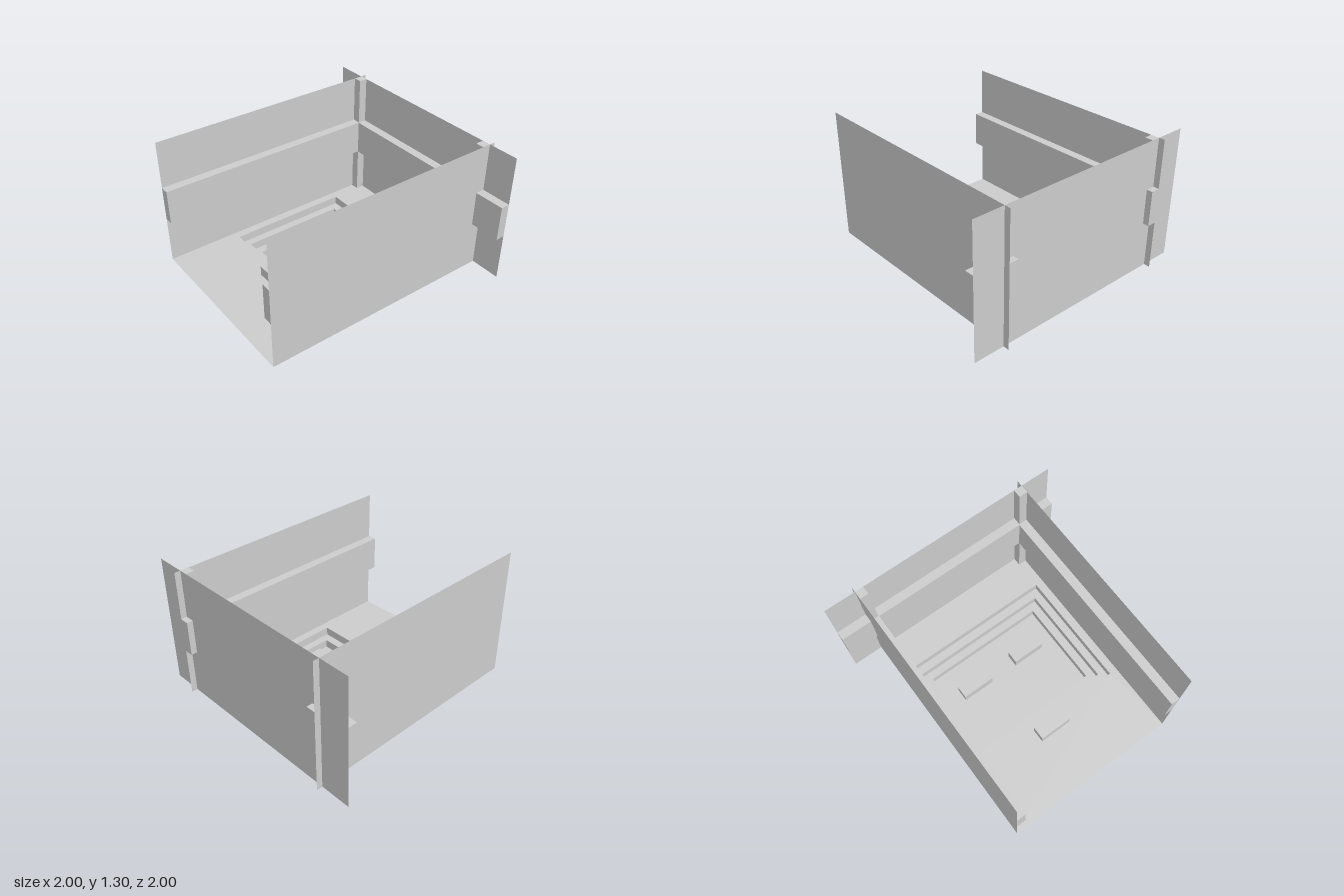
import * as THREE from 'three';

export function createModel() {
  const group = new THREE.Group();
  const solid = new THREE.MeshStandardMaterial({ color: 0xcccccc, flatShading: true });
  const sheet = new THREE.MeshStandardMaterial({ color: 0xcccccc, flatShading: true, side: THREE.DoubleSide });

  function add(name, geometry, material) {
    const mesh = new THREE.Mesh(geometry, material);
    mesh.name = name;
    group.add(mesh);
    return mesh;
  }

  // Box given by its extents along each axis
  function box(name, [x0, x1], [y0, y1], [z0, z1]) {
    const mesh = add(name, new THREE.BoxGeometry(x1 - x0, y1 - y0, z1 - z0), solid);
    mesh.position.set((x0 + x1) / 2, (y0 + y1) / 2, (z0 + z1) / 2);
  }

  // Thin upright wall between two points in plan
  function wall(name, xa, za, xb, zb, y0, y1) {
    const geometry = new THREE.PlaneGeometry(Math.hypot(xb - xa, zb - za), y1 - y0);
    geometry.rotateY(-Math.atan2(zb - za, xb - xa));
    geometry.translate((xa + xb) / 2, (y0 + y1) / 2, (za + zb) / 2);
    add(name, geometry, sheet);
  }

  const trace = (path, { x, z0, z1 }) => {
    path.moveTo(-x, -z1);
    path.lineTo(x, -z1);
    path.lineTo(x, -z0);
    path.lineTo(-x, -z0);
    path.closePath();
    return path;
  };

  // Flat rectangular sheet with an optional rectangular opening
  function slab(name, y, outer, inner) {
    const shape = trace(new THREE.Shape(), outer);
    if (inner) shape.holes.push(trace(new THREE.Path(), inner));
    const geometry = new THREE.ShapeGeometry(shape).rotateX(-Math.PI / 2).translate(0, y, 0);
    add(name, geometry, sheet);
  }

  const floorY = 0.21, topY = 1.295, wallX = 0.745, backZ = -0.95;

  // Floor and sunken stepped pit
  const pit = [
    { x: 0.675, z0: -0.63, z1: 0.405, top: floorY, bottom: 0.14 },
    { x: 0.61, z0: -0.56, z1: 0.335, top: 0.14, bottom: 0.07 },
    { x: 0.54, z0: -0.495, z1: 0.27, top: 0.07, bottom: 0 },
  ];
  slab('floor', floorY, { x: wallX, z0: backZ, z1: 1 }, pit[0]);
  pit.forEach((p, i) => {
    wall('pitRiserFront', -p.x, p.z1, p.x, p.z1, p.bottom, p.top);
    wall('pitRiserBack', -p.x, p.z0, p.x, p.z0, p.bottom, p.top);
    for (const s of [-1, 1]) wall('pitRiserSide', s * p.x, p.z0, s * p.x, p.z1, p.bottom, p.top);
    slab(i < 2 ? 'pitLedge' : 'pitBottom', p.bottom, p, pit[i + 1]);
  });

  // Back wall and its rail
  wall('backWall', -1, backZ, 1, backZ, floorY, topY);
  box('backRail', [-1, 1], [0.61, 0.9], [backZ, -0.875]);

  // Side walls, side rails, corner posts and pit blocks, mirrored
  for (const s of [-1, 1]) {
    const span = (a, b) => (s > 0 ? [a, b] : [-b, -a]);
    wall('sideWall', s * wallX, -1, s * wallX, 1, floorY, topY);
    box('sideRail', span(0.67, wallX), [0.61, 0.9], [-1, 1]);
    box('cornerPost', span(0.675, wallX), [floorY, topY], [backZ, -0.88]);
    box('pitBlock', span(0.125, 0.41), [0, 0.09], [-0.3, -0.19]);
  }

  // Block on the floor in front of the pit
  box('frontBlock', [-0.14, 0.14], [floorY, 0.295], [0.415, 0.53]);

  return group;
}
